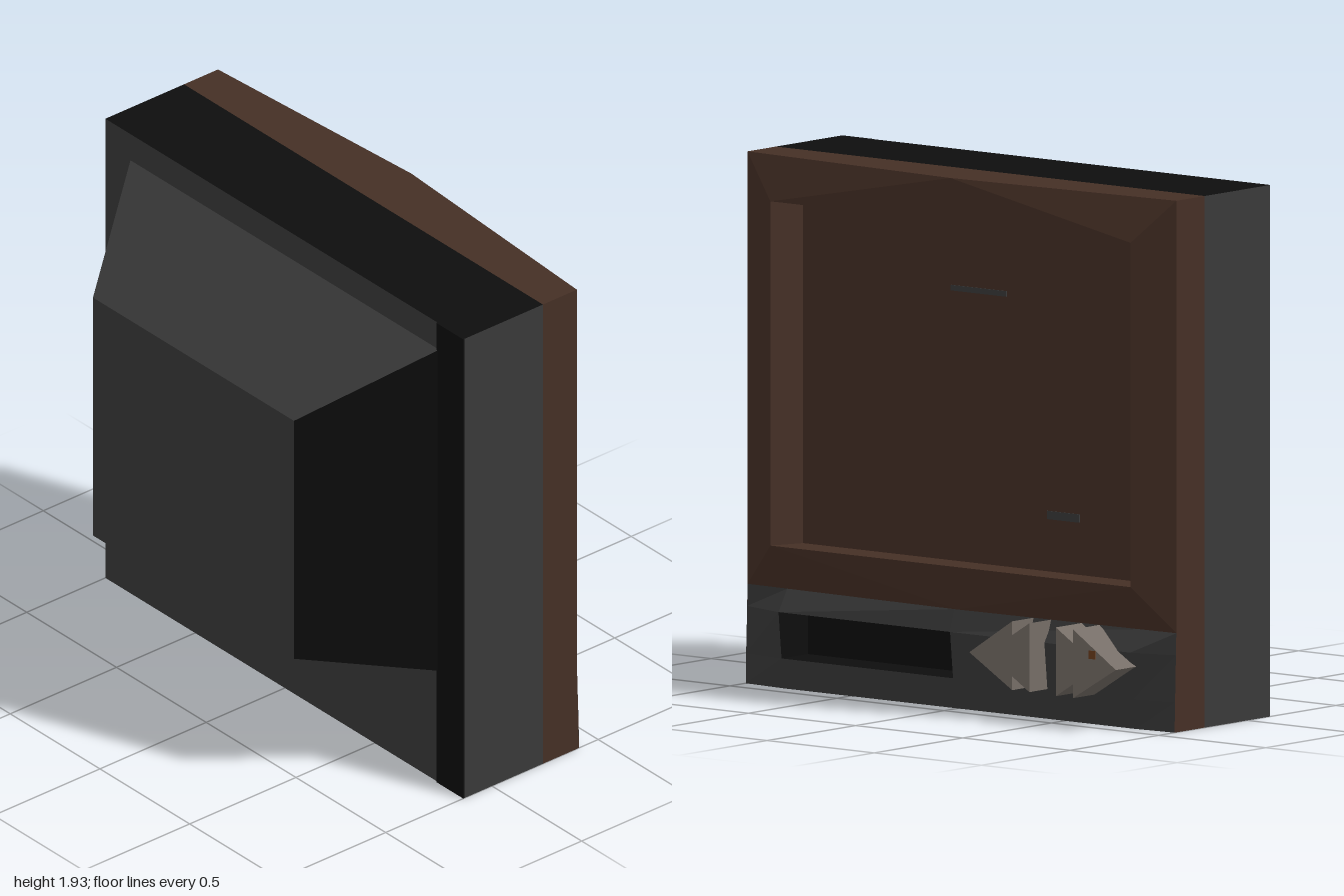
import * as THREE from 'three';

const mat = (name, color) => {
  const m = new THREE.MeshStandardMaterial({ color, side: THREE.DoubleSide });
  m.name = name;
  return m;
};

// Flat-shaded mesh from convex polygons, each a list of [x, y, z] corners
function faces(name, material, polygons) {
  const pos = [];
  for (const p of polygons)
    for (let i = 1; i < p.length - 1; i++) pos.push(...p[0], ...p[i], ...p[i + 1]);
  const g = new THREE.BufferGeometry();
  g.setAttribute('position', new THREE.Float32BufferAttribute(pos, 3));
  g.computeVertexNormals();
  const mesh = new THREE.Mesh(g, material);
  mesh.name = name;
  return mesh;
}

// Rectangle in the plane x, listed counter-clockwise as seen from +x
const rect = (x, y0, y1, z) => [[x, y0, z], [x, y0, -z], [x, y1, -z], [x, y1, z]];

// Quads joining two rings of equal length
const bridge = (a, b) => a.map((p, i) => {
  const j = (i + 1) % a.length;
  return [p, a[j], b[j], b[i]];
});

export function createModel() {
  const group = new THREE.Group();
  const grey = mat('darkGrey', 0x393939);
  const black = mat('black', 0x0d0d0d);
  const brown = mat('brown', 0x452f25);
  const pale = mat('warmGrey', 0x756d66);
  const rust = mat('rust', 0x6b3c1c);

  const box = (name, material, x0, x1, y0, y1, z0, z1) => {
    const m = new THREE.Mesh(new THREE.BoxGeometry(x1 - x0, y1 - y0, z1 - z0), material);
    m.position.set((x0 + x1) / 2, (y0 + y1) / 2, (z0 + z1) / 2);
    m.name = name;
    group.add(m);
  };

  // Cabinet with a black top, and a dark strip on its back
  box('cabinet', [grey, grey, black, grey, grey, grey], -0.13, 0.24, 0, 1.93, -1, 1);
  box('backStrip', black, -0.135, -0.13, 0, 1.93, 0.85, 1);

  // Tapered tube housing; one side is black
  const hoodFront = rect(-0.13, 0.47, 1.82, 0.86);
  const hoodBack = rect(-0.56, 0.55, 1.55, 0.56);
  const hoodSides = bridge(hoodBack, hoodFront);
  group.add(faces('tubeHousing', grey, [...hoodSides.slice(0, 3), [...hoodBack].reverse()]));
  group.add(faces('tubeHousingSide', black, [hoodSides[3]]));

  // Brown front shell: sides, bowed top, bottom
  const shell = [
    [[0.24, 0, 1], [0.41, 0, 1], [0.4, 0.36, 1], [0.4, 1.93, 1], [0.24, 1.93, 1]],
    [[0.24, 1.93, -1], [0.4, 1.93, -1], [0.4, 0.36, -1], [0.41, 0, -1], [0.24, 0, -1]],
    [[0.24, 1.93, -1], [0.24, 1.93, 1], [0.4, 1.93, 1], [0.465, 1.93, 0], [0.4, 1.93, -1]],
    [[0.24, 0, 1], [0.24, 0, -1], [0.41, 0, -1], [0.425, 0, -0.83], [0.425, 0, 0.81], [0.41, 0, 1]],
  ];
  group.add(faces('frontShell', brown, shell));

  // Bezel sloping up to the screen opening
  const rim = rect(0.465, 0.52, 1.77, 0.84);
  const [bl, br, tr, tl] = rim;
  const outer = rect(0.4, 0.36, 1.93, 1);
  const bottomMid = [0.43, 0.36, 0], topMid = [0.465, 1.93, 0];
  group.add(faces('bezel', brown, [
    [outer[0], bottomMid, bl], [bottomMid, br, bl], [bottomMid, outer[1], br],
    [outer[1], outer[2], tr, br],
    [outer[2], topMid, tr], [topMid, tl, tr], [topMid, outer[3], tl],
    [outer[3], outer[0], bl, tl],
  ]));

  // Recessed screen
  const screen = rect(0.34, 0.52, 1.77, 0.79);
  group.add(faces('screenRecess', brown, bridge(rim, screen)));
  group.add(faces('screen', brown, [screen]));
  box('screenMark', grey, 0.34, 0.344, 1.5, 1.52, -0.16, 0.1);
  box('screenMark', grey, 0.34, 0.344, 0.71, 0.74, -0.5, -0.35);

  // Lower control panel, a grid of quads with one cell open for the slot
  const rows = [0, 0.11, 0.28, 0.36];
  const cols = [1, 0.81, 0.01, -0.83, -1];
  const point = (r, c) => {
    const z = cols[c], end = Math.abs(z) === 1;
    const x = r === 3 ? 0.43 - 0.03 * Math.abs(z)
      : end ? [0.41, 0.408, 0.402][r] : [0.425, 0.438, 0.455][r];
    return [x, rows[r], z];
  };
  const panel = [];
  for (let r = 0; r < 3; r++)
    for (let c = 0; c < 4; c++)
      if (r !== 1 || c !== 1)
        panel.push([point(r, c), point(r, c + 1), point(r + 1, c + 1), point(r + 1, c)]);
  group.add(faces('controlPanel', grey, panel));

  // Slot
  const mouth = [point(1, 1), point(1, 2), point(2, 2), point(2, 1)];
  const slotBack = mouth.map(([, y, z]) => [0.29, y, z]);
  group.add(faces('slot', black, [...bridge(mouth, slotBack), slotBack]));

  // Double-arrow buttons, mirrored about z = -0.5
  const outline = [[-0.15, 0.23], [-0.35, 0.36], [-0.35, 0.31], [-0.43, 0.36],
    [-0.43, 0.11], [-0.35, 0.16], [-0.35, 0.11]];
  for (const [name, flip, front] of [['leftArrow', false, 0.54], ['rightArrow', true, 0.56]]) {
    const pts = outline.map(([z, y]) => new THREE.Vector2(flip ? 1 + z : -z, y));
    const g = new THREE.ExtrudeGeometry(new THREE.Shape(pts), { depth: front - 0.41, bevelEnabled: false });
    g.rotateY(Math.PI / 2);
    const arrow = new THREE.Mesh(g, pale);
    arrow.position.x = 0.41;
    arrow.name = name;
    group.add(arrow);
  }
  box('arrowMark', rust, 0.558, 0.562, 0.26, 0.29, -0.755, -0.725);

  return group;
}
